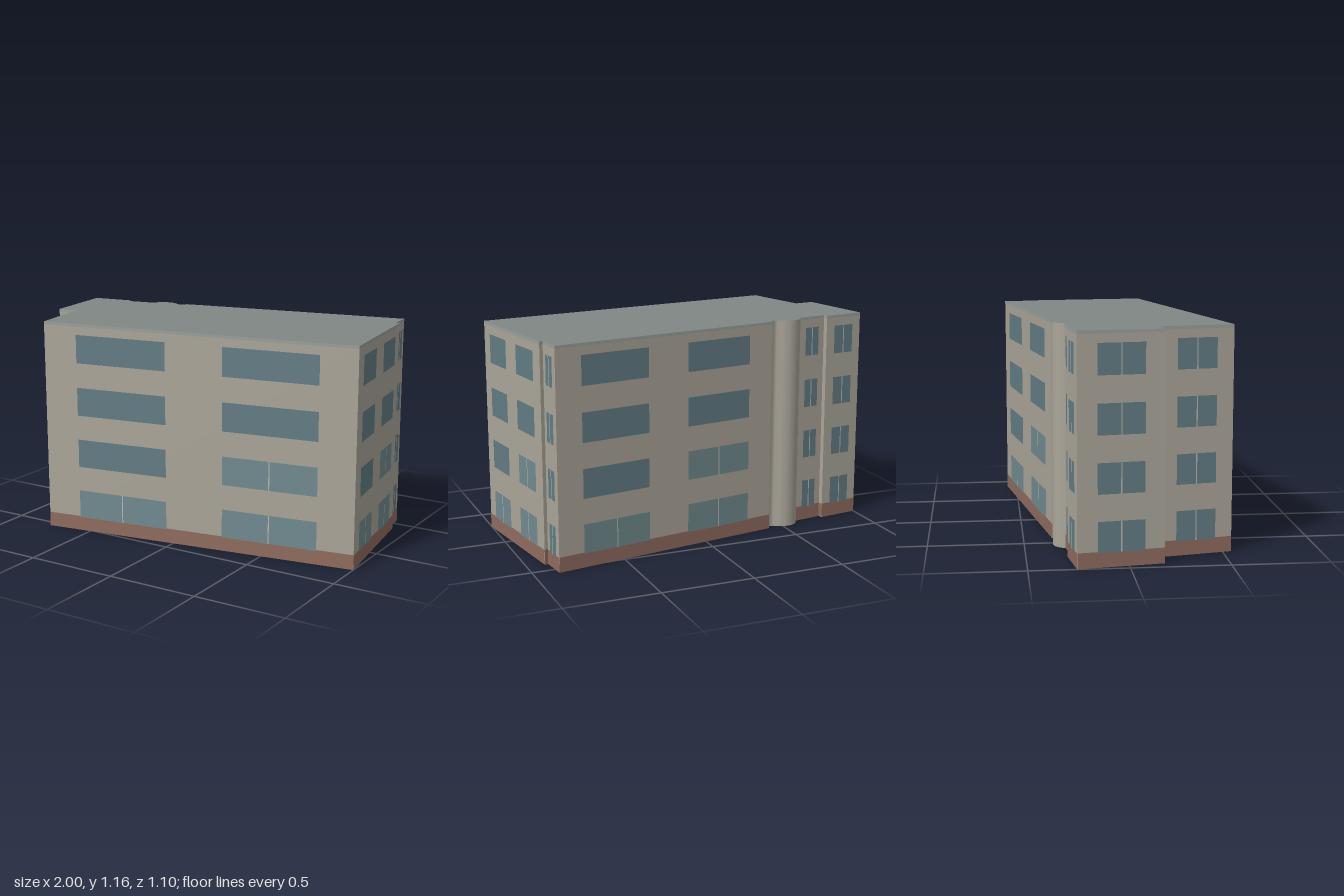
import * as THREE from 'three';

const HEIGHT = 1.16, PLINTH = 0.08, TRIM = 0.016;
const FLOORS = [0.075, 0.365, 0.655, 0.945], WINDOW_H = 0.155;

const paint = (color, side = THREE.FrontSide) =>
  new THREE.MeshStandardMaterial({ color, side, roughness: 0.9 });
const mats = {
  wall: paint(0xaaa599, THREE.DoubleSide),
  plinth: paint(0x8f6b5e),
  roof: paint(0x7f8784, THREE.DoubleSide),
  trim: paint(0x98a09a),
  glass: paint(0x627c84),
  paleGlass: paint(0x708a8f),
  mullion: paint(0xb4bab2),
};

// Corners [x, z, windows on the wall that starts here], left to right seen from outside.
const corners = [
  [-0.75, 0.545, 2], [1.0, 0.28, 2], [0.904, -0.415, 0], [0.885, -0.41, 1],
  [0.87, -0.553, 2], [-0.41, -0.347, 0], [-0.41, -0.327, 'bay'], [-0.61, -0.29, 1],
  [-0.77, -0.265, 0], [-0.775, -0.29, 1], [-1.0, -0.26, 1], [-0.935, 0.178, 1],
  [-0.825, 0.165, 1],
];

// Curved stair bay between its two corners
const bayPoints = new THREE.CatmullRomCurve3([
  [-0.41, -0.327], [-0.443, -0.318], [-0.463, -0.327], [-0.49, -0.342], [-0.527, -0.35],
  [-0.565, -0.342], [-0.59, -0.323], [-0.61, -0.29],
].map(([x, z]) => new THREE.Vector3(x, 0, z))).getPoints(28);

// Upright panel spanning x0..x1 and y0..y1 of a wall
function panel(name, x0, x1, y0, y1, depth, material) {
  const mesh = new THREE.Mesh(new THREE.PlaneGeometry(x1 - x0, y1 - y0), material);
  mesh.position.set((x0 + x1) / 2, (y0 + y1) / 2, depth);
  mesh.name = name;
  return mesh;
}

function facade([x, z, windows], [nx, nz]) {
  const group = new THREE.Group();
  group.name = 'facade';
  const length = Math.hypot(nx - x, nz - z);
  group.position.set(x, 0, z);
  group.rotation.y = Math.atan2(z - nz, nx - x);
  group.add(
    panel('wall', 0, length, 0, HEIGHT, 0, mats.wall),
    panel('plinth', 0, length, 0, PLINTH, 0.0012, mats.plinth),
    panel('roofTrim', 0, length, HEIGHT - TRIM, HEIGHT, 0.0012, mats.trim),
  );
  const spans = windows === 2 ? [[0.11, 0.407], [0.59, 0.887]] : windows === 1 ? [[0.23, 0.77]] : [];
  spans.forEach(([f0, f1], column) => FLOORS.forEach((y, floor) => {
    // Divided windows: every narrow one, and the lower wide ones
    const split = windows === 1 || floor <= column;
    const x0 = f0 * length, x1 = f1 * length, mid = (x0 + x1) / 2;
    const pale = split && windows === 2 ? mats.paleGlass : mats.glass;
    group.add(panel('window', x0, x1, y, y + WINDOW_H, 0.0024, pale));
    if (split) group.add(panel('mullion', mid - 0.003, mid + 0.003, y, y + WINDOW_H, 0.0036, mats.mullion));
  }));
  return group;
}

// Smooth ribbon of wall following the bay curve
function stairBay() {
  const geometry = new THREE.PlaneGeometry(1, 1, bayPoints.length - 1, 1);
  const position = geometry.attributes.position;
  for (let i = 0; i < position.count; i++) {
    const p = bayPoints[i % bayPoints.length];
    position.setXYZ(i, p.x, i < bayPoints.length ? HEIGHT : 0, p.z);
  }
  geometry.computeVertexNormals();
  const mesh = new THREE.Mesh(geometry, mats.wall);
  mesh.name = 'stairBay';
  return mesh;
}

// Flat roof over the whole outline
function roof() {
  const outline = corners.flatMap(([x, z, kind]) => kind === 'bay'
    ? bayPoints.slice(0, -1).map((p) => new THREE.Vector2(p.x, -p.z))
    : [new THREE.Vector2(x, -z)]);
  const mesh = new THREE.Mesh(new THREE.ShapeGeometry(new THREE.Shape(outline)), mats.roof);
  mesh.rotation.x = -Math.PI / 2;
  mesh.position.y = HEIGHT;
  mesh.name = 'roof';
  return mesh;
}

export function createModel() {
  const building = new THREE.Group();
  building.name = 'apartmentBlock';
  corners.forEach((corner, i) => building.add(corner[2] === 'bay'
    ? stairBay()
    : facade(corner, corners[(i + 1) % corners.length])));
  building.add(roof());
  return building;
}
